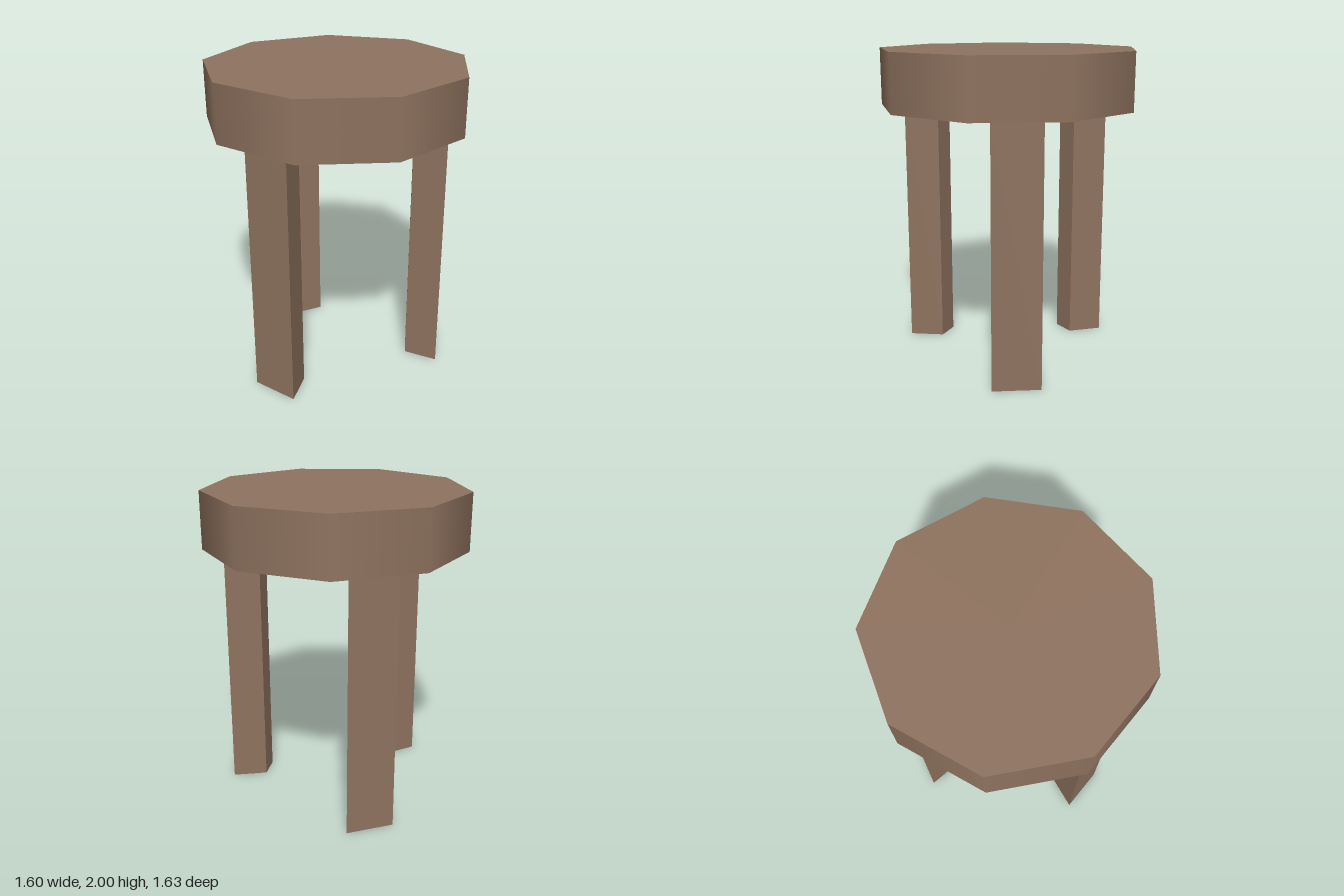
import * as THREE from 'three';

const CENTRE_X = -0.025; // axis of the nine-sided seat
const SEAT_BOTTOM = 1.64;
const HEIGHT = 2;

// Wedge-shaped leg prism, standing on y = 0 and pointing out along +x
function legGeometry() {
  const shape = new THREE.Shape([
    new THREE.Vector2(0.48, -0.075),
    new THREE.Vector2(0.688, -0.152),
    new THREE.Vector2(0.688, 0.152),
    new THREE.Vector2(0.48, 0.075),
  ]);
  return new THREE.ExtrudeGeometry(shape, { depth: SEAT_BOTTOM, bevelEnabled: false })
    .rotateX(-Math.PI / 2);
}

export function createModel() {
  const wood = new THREE.MeshStandardMaterial({ color: 0x8f735f });
  wood.name = 'brown wood';

  const stool = new THREE.Group();
  stool.name = 'stool';

  // Thick nine-sided seat with smooth-shaded rim, one corner towards +x
  const thickness = HEIGHT - SEAT_BOTTOM;
  const seat = new THREE.Mesh(
    new THREE.CylinderGeometry(0.826, 0.826, thickness, 9, 1, false, Math.PI / 2),
    wood
  );
  seat.name = 'seat';
  seat.position.set(CENTRE_X, SEAT_BOTTOM + thickness / 2, 0);
  stool.add(seat);

  // Three legs, evenly spaced around the seat axis
  const geometry = legGeometry();
  ['leftLeg', 'backRightLeg', 'frontLeg'].forEach((name, i) => {
    const leg = new THREE.Mesh(geometry, wood);
    leg.name = name;
    leg.position.x = CENTRE_X;
    leg.rotation.y = THREE.MathUtils.degToRad(20 + i * 120);
    stool.add(leg);
  });

  return stool;
}
